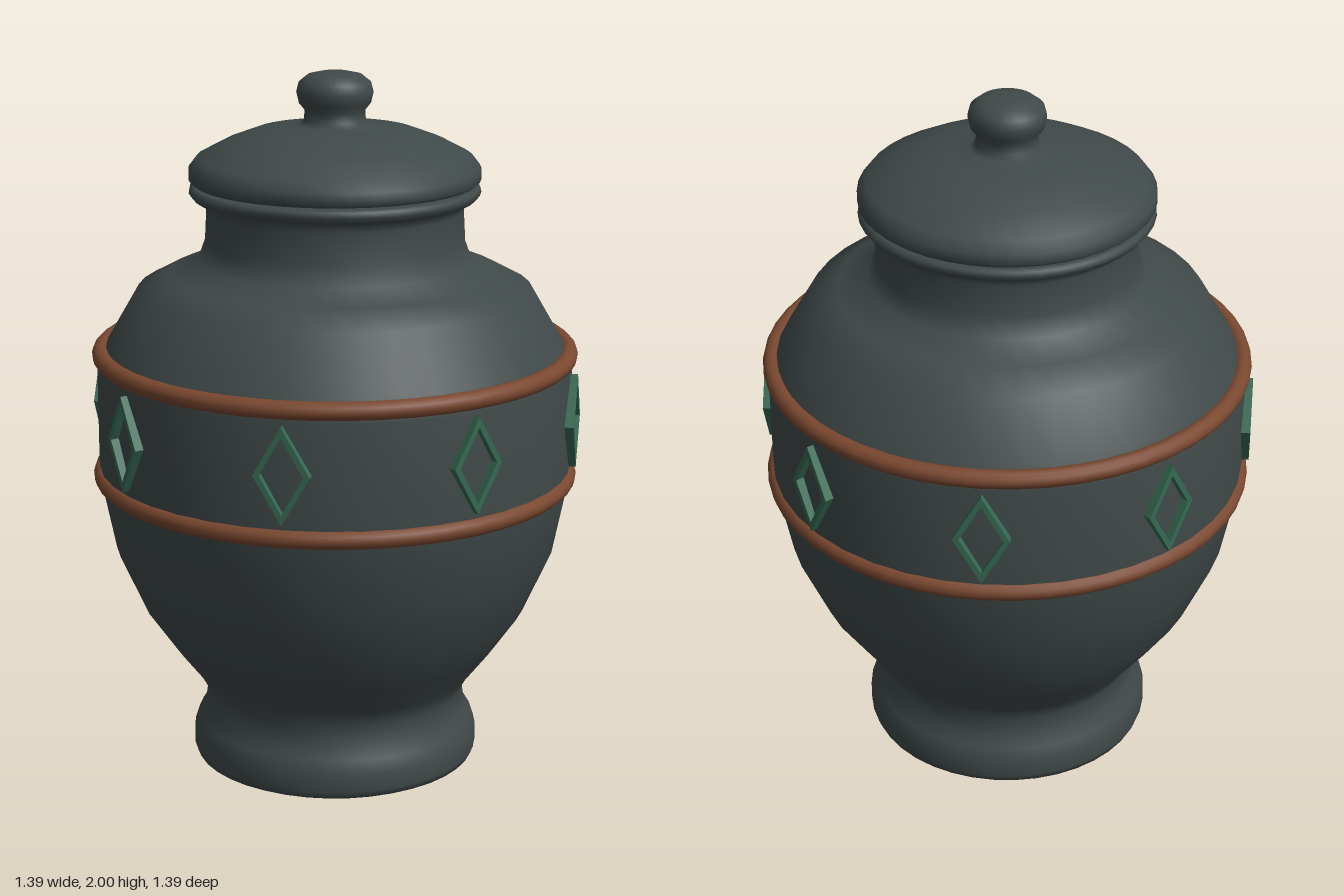
import * as THREE from 'three';

const material = (name, color) => {
  const m = new THREE.MeshStandardMaterial({ color });
  m.name = name;
  return m;
};

export function createModel() {
  const glaze = material('dark slate glaze', 0x404949);
  const copper = material('copper brown', 0x7a4830);
  const jade = material('jade green', 0x366a54);
  const model = new THREE.Group();
  model.name = 'liddedUrn';

  const add = (name, geometry, mat) => {
    const mesh = new THREE.Mesh(geometry, mat);
    mesh.name = name;
    model.add(mesh);
    return mesh;
  };
  const lathe = (points) =>
    new THREE.LatheGeometry(points.map(([r, y]) => new THREE.Vector2(r, y)), 40);

  // Body: foot, belly, straight band zone, shoulder, neck and rim
  add('body', lathe([
    [0, 0], [0.385, 0], [0.385, 0], [0.405, 0.01], [0.413, 0.03], [0.413, 0.08], [0.4, 0.12],
    [0.38, 0.15], [0.372, 0.21], [0.40, 0.26], [0.47, 0.35], [0.55, 0.465], [0.63, 0.645],
    [0.667, 0.83], [0.673, 0.9], [0.673, 1.18], [0.645, 1.24], [0.555, 1.395],
    [0.47, 1.44], [0.385, 1.475], [0.365, 1.53], [0.36, 1.62], [0.372, 1.645], [0.395, 1.652],
    [0.408, 1.668], [0.405, 1.682], [0.395, 1.687], [0.395, 1.687], [0, 1.687],
  ]), glaze);

  // Lid with its knob, resting just above the rim
  add('lid', lathe([
    [0, 1.694], [0.395, 1.694], [0.395, 1.694], [0.408, 1.705], [0.408, 1.735], [0.385, 1.765],
    [0.31, 1.805], [0.225, 1.837], [0.15, 1.848], [0.1, 1.853], [0.086, 1.868],
    [0.084, 1.895], [0.1, 1.915], [0.107, 1.945], [0.1, 1.972], [0.075, 1.992], [0.04, 2], [0, 2],
  ]), glaze);

  // Raised rings above and below the decorated zone
  for (const [name, y, radius, tube] of [['upperRing', 1.213, 0.661, 0.026], ['lowerRing', 0.863, 0.663, 0.027]]) {
    const ring = add(name, new THREE.TorusGeometry(radius, tube, 12, 48), copper);
    ring.rotation.x = Math.PI / 2;
    ring.position.y = y;
  }

  // Eight open diamond frames around the belly
  const diamond = (ShapeType, w, h) =>
    new ShapeType([[w, 0], [0, h], [-w, 0], [0, -h]].map(([x, y]) => new THREE.Vector2(x, y)));
  const outline = diamond(THREE.Shape, 0.077, 0.135);
  outline.holes.push(diamond(THREE.Path, 0.06, 0.105));
  const frame = new THREE.ExtrudeGeometry(outline, { depth: 0.03, bevelEnabled: false });
  for (let i = 0; i < 8; i++) {
    const a = (i * Math.PI) / 4;
    const mesh = add('diamond' + (i + 1), frame, jade);
    mesh.position.set(Math.sin(a) * 0.663, 1.04, Math.cos(a) * 0.663);
    mesh.rotation.y = a;
  }
  return model;
}
